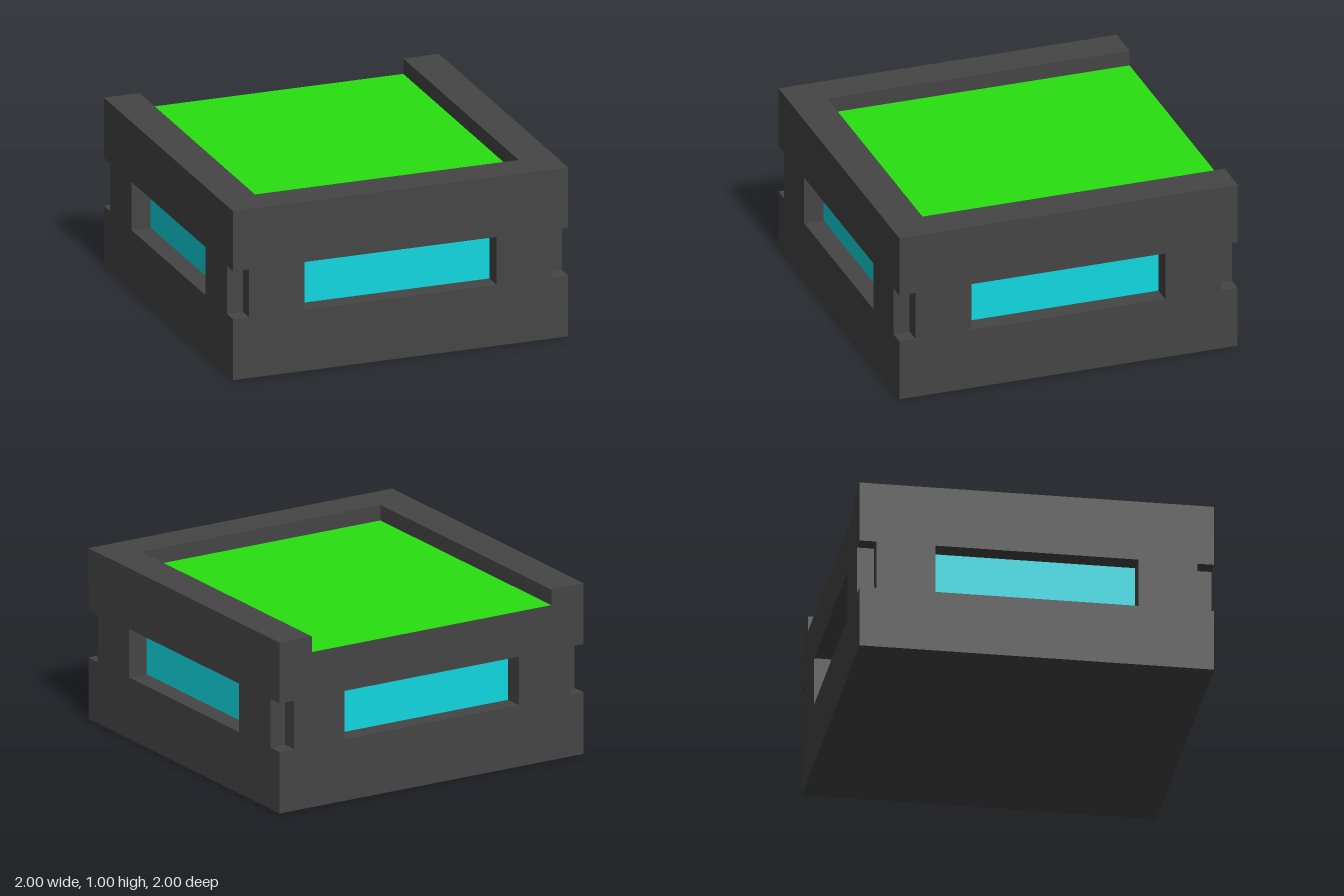
import * as THREE from 'three';

const HALF = 1;           // half the footprint
const INNER = 0.787;      // inside of the top rim
const FLOOR = 0.908;      // height of the top panel
const WIN = 0.573;        // half width of a side window
const WIN_Y0 = 0.36, WIN_Y1 = 0.644;
const WIN_DEPTH = 0.115;
const NOTCH = 0.095;      // square cut in each vertical edge
const GAP = 0.001;        // lifts panels clear of the casing

const mat = (color) => new THREE.MeshStandardMaterial({ color, flatShading: true });

// Extrudes a plan outline (x, -z) upward from y0 to y1
function layer(name, points, y0, y1, material) {
  const shape = new THREE.Shape(points.map(([x, y]) => new THREE.Vector2(x, y)));
  const geo = new THREE.ExtrudeGeometry(shape, { depth: y1 - y0, bevelEnabled: false });
  geo.rotateX(-Math.PI / 2).translate(0, y0, 0);
  const mesh = new THREE.Mesh(geo, material);
  mesh.name = name;
  return mesh;
}

export function createModel() {
  const group = new THREE.Group();
  group.name = 'block';
  const casing = mat(0x454545);
  const cyan = mat(0x10d8e0);
  const green = mat(0x28e010);

  const square = [[-HALF, -HALF], [HALF, -HALF], [HALF, HALF], [-HALF, HALF]];

  // Middle band: one side with its window recess and corner cut, turned four times
  const c = HALF - NOTCH, d = HALF - WIN_DEPTH;
  const side = [[-c, -c], [-c, -HALF], [-WIN, -HALF], [-WIN, -d], [WIN, -d], [WIN, -HALF], [c, -HALF]];
  const band = [];
  let turned = side;
  for (let i = 0; i < 4; i++) {
    band.push(...turned);
    turned = turned.map(([x, y]) => [-y, x]);
  }

  // Top rim: three walls, open at the back
  const rim = [
    [-HALF, -HALF], [HALF, -HALF], [HALF, HALF], [INNER, HALF],
    [INNER, -INNER], [-INNER, -INNER], [-INNER, HALF], [-HALF, HALF],
  ];

  group.add(
    layer('base', square, 0, WIN_Y0, casing),
    layer('windowBand', band, WIN_Y0, WIN_Y1, casing),
    layer('upperBody', square, WIN_Y1, FLOOR, casing),
    layer('topRim', rim, FLOOR, 1, casing),
  );

  // Top panel, running out through the open back
  const topPanel = new THREE.Mesh(new THREE.PlaneGeometry(2 * INNER, HALF + INNER), green);
  topPanel.name = 'topPanel';
  topPanel.rotation.x = -Math.PI / 2;
  topPanel.position.set(0, FLOOR + GAP, (INNER - HALF) / 2);
  group.add(topPanel);

  // Window panels at the bottom of each side recess
  ['front', 'left', 'back', 'right'].forEach((name, i) => {
    const geo = new THREE.PlaneGeometry(2 * WIN, WIN_Y1 - WIN_Y0);
    geo.translate(0, (WIN_Y0 + WIN_Y1) / 2, d + GAP);
    const panel = new THREE.Mesh(geo, cyan);
    panel.name = name + 'Window';
    panel.rotation.y = i * Math.PI / 2;
    group.add(panel);
  });

  return group;
}
